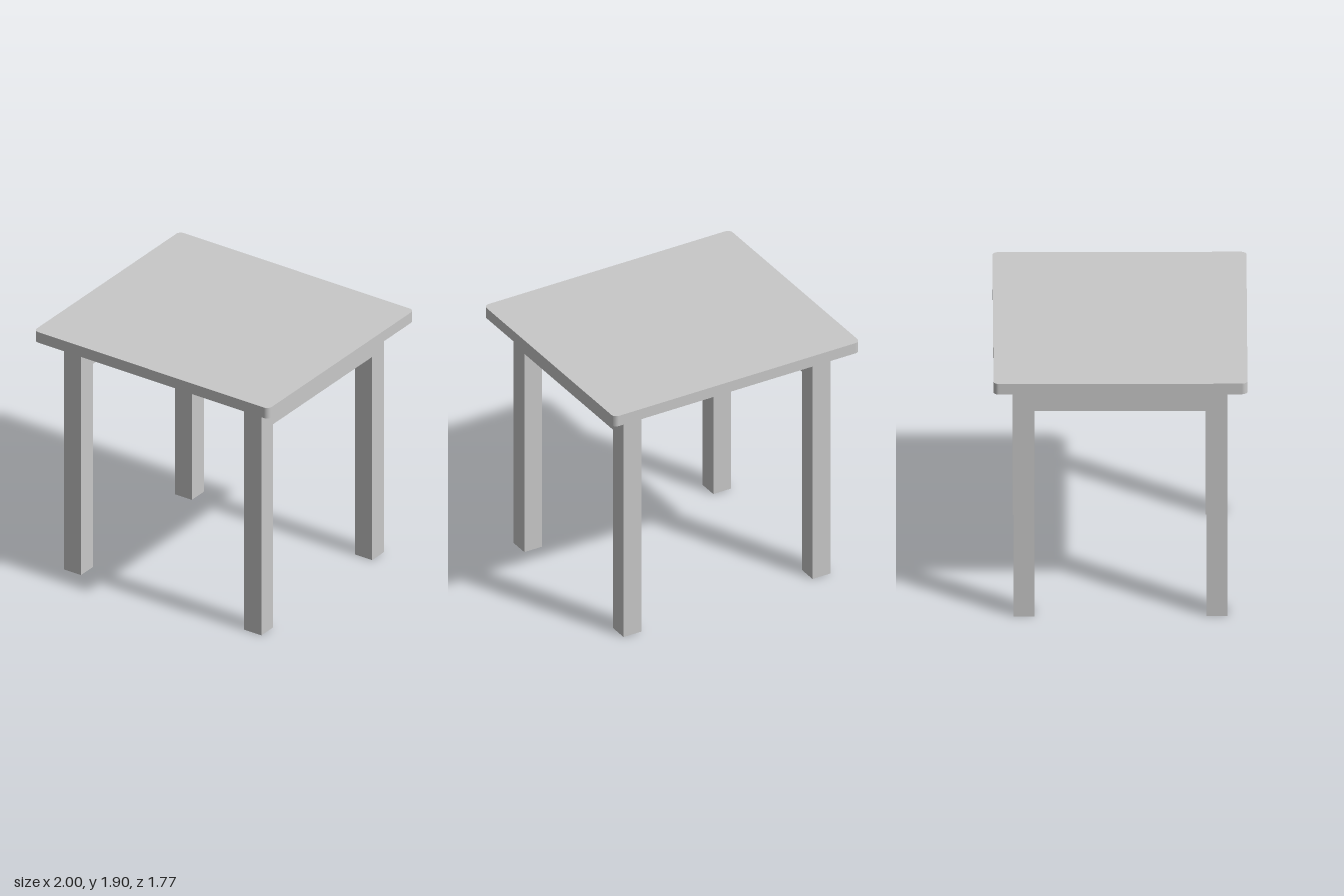
import * as THREE from 'three';

export function createModel() {
  const group = new THREE.Group();
  const paint = new THREE.MeshStandardMaterial({ color: 0xc8c8c8 });
  paint.name = 'light grey';
  const steel = new THREE.MeshStandardMaterial({ color: 0x222222 });
  steel.name = 'black steel';

  const add = (parent, name, geometry, material, x = 0, y = 0, z = 0) => {
    const mesh = new THREE.Mesh(geometry, material);
    mesh.name = name;
    mesh.position.set(x, y, z);
    parent.add(mesh);
    return mesh;
  };

  // Table top with rounded corners
  const w = 1, d = 0.885, r = 0.04;
  const outline = new THREE.Shape();
  outline.absarc(w - r, d - r, r, 0, Math.PI / 2);
  outline.absarc(-w + r, d - r, r, Math.PI / 2, Math.PI);
  outline.absarc(-w + r, -d + r, r, Math.PI, Math.PI * 1.5);
  outline.absarc(w - r, -d + r, r, Math.PI * 1.5, Math.PI * 2);
  const topGeometry = new THREE.ExtrudeGeometry(outline, { depth: 0.083, bevelEnabled: false, curveSegments: 8 });
  topGeometry.rotateX(-Math.PI / 2);
  add(group, 'tableTop', topGeometry, paint, 0, 1.822, 0);

  // Side frames: two legs and a flush side rail in one piece
  const arch = new THREE.Shape([
    [-0.745, 0], [-0.6, 0], [-0.6, 1.61], [0.6, 1.61],
    [0.6, 0], [0.745, 0], [0.745, 1.8], [-0.745, 1.8],
  ].map(([x, y]) => new THREE.Vector2(x, y)));
  const archGeometry = new THREE.ExtrudeGeometry(arch, { depth: 0.145, bevelEnabled: false });
  archGeometry.translate(0, 0, -0.0725);
  archGeometry.rotateY(Math.PI / 2);

  // Bolts run through each rail
  const boltZ = new THREE.CylinderGeometry(0.016, 0.016, 0.098, 16).rotateX(Math.PI / 2);
  const boltX = new THREE.CylinderGeometry(0.014, 0.014, 0.149, 16).rotateZ(Math.PI / 2);
  const railGeometry = new THREE.BoxGeometry(1.39, 0.19, 0.088);

  for (const s of [-1, 1]) {
    add(group, s > 0 ? 'leftLegFrame' : 'rightLegFrame', archGeometry, paint, s * 0.7675, 0, 0);
    add(group, s > 0 ? 'frontRail' : 'backRail', railGeometry, paint, 0, 1.705, s * 0.519);
    for (const t of [-1, 1]) {
      add(group, 'railBolt', boltZ, steel, t * 0.565, 1.705, s * 0.519);
      add(group, 'sideBolt', boltX, steel, s * 0.7675 + 0.005, 1.705, t * 0.52);
    }
  }

  // Two-disc fasteners between the frame and the top
  const disc = new THREE.CylinderGeometry(0.06, 0.06, 0.01, 24);
  const neck = new THREE.BoxGeometry(0.15, 0.01, 0.06);
  const head = new THREE.CylinderGeometry(0.022, 0.03, 0.008, 16);
  const addFastener = (x, z, angle) => {
    const clip = new THREE.Group();
    clip.name = 'topFastener';
    clip.position.set(x, 1.806, z);
    clip.rotation.y = angle;
    add(clip, 'railDisc', disc, steel, -0.074);
    add(clip, 'topDisc', disc, steel, 0.074);
    add(clip, 'discNeck', neck, steel);
    add(clip, 'screwHead', head, steel, -0.074, 0.009);
    add(clip, 'raisedDisc', disc, steel, 0.074, 0.009);
    group.add(clip);
  };
  for (const s of [-1, 1]) {
    const inward = s > 0 ? Math.PI : 0;
    addFastener(s * 0.684, 0, inward);
    for (const t of [-1, 1]) {
      addFastener(s * 0.675, t * 0.457, inward - s * t * 0.7);
    }
  }

  return group;
}
